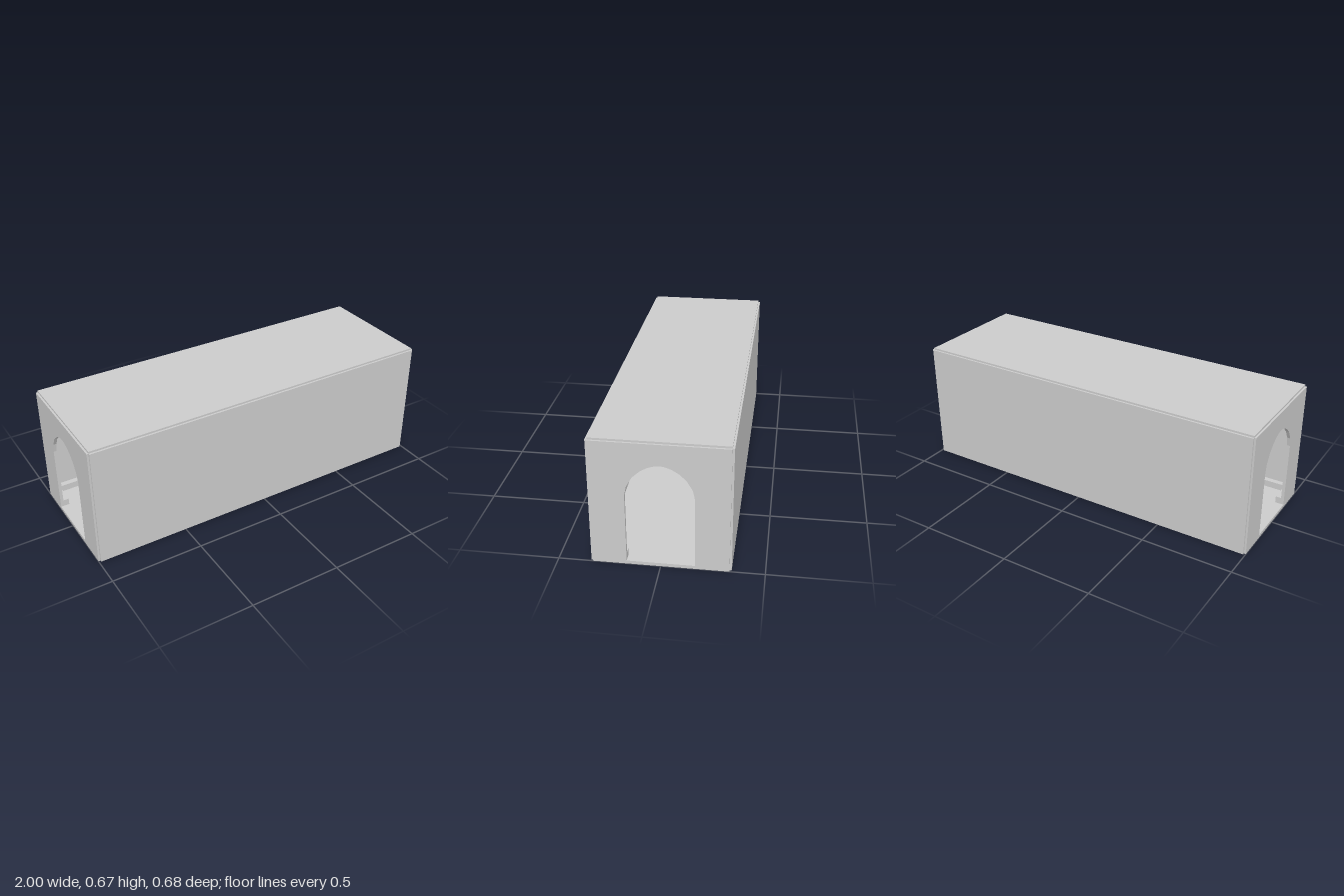
import * as THREE from 'three';

export function createModel() {
  const model = new THREE.Group();
  const material = new THREE.MeshStandardMaterial({ color: 0xcccccc, flatShading: true });
  const T = 0.017;              // panel thickness
  const KERB_W = 0.03, KERB_H = 0.037;
  const DOOR = 0.165;           // half width of the doorway

  function box(name, w, h, d, x, y, z) {
    const mesh = new THREE.Mesh(new THREE.BoxGeometry(w, h, d), material);
    mesh.name = name;
    mesh.position.set(x, y, z);
    model.add(mesh);
  }

  // Floor and roof; the short panels leave a stepped groove along the edges
  box('floor', 1.966, T, 0.646, 0, T / 2, 0);
  box('roof', 1.98, T, 0.66, 0, 0.67 - T / 2, 0);

  // Long side walls with a kerb along the inside
  for (const s of [-1, 1]) {
    box('sideWall', 1.98, 0.66, T, 0, 0.33, s * (0.34 - T / 2));
    box('sideKerb', 1.966, KERB_H, KERB_W, 0, T + KERB_H / 2, s * (0.323 - KERB_W / 2));
  }

  // End wall outline with an arched doorway
  const wall = new THREE.Shape([[-0.33, 0], [0.33, 0], [0.33, 0.66], [-0.33, 0.66]]
    .map(([x, y]) => new THREE.Vector2(x, y)));
  const half = [[DOOR, T], [DOOR, 0.383], [0.155, 0.433], [0.126, 0.483],
    [0.09, 0.517], [0.055, 0.538], [0.018, 0.55]];
  const arch = [...half, ...half.map(([x, y]) => [-x, y]).reverse()];
  wall.holes.push(new THREE.Path(arch.map(([x, y]) => new THREE.Vector2(x, y))));
  const wallGeometry = new THREE.ExtrudeGeometry(wall, { depth: T, bevelEnabled: false });
  wallGeometry.translate(0, 0, -T / 2).rotateY(Math.PI / 2);

  // Both end walls, with kerbs that stop at the doorway
  const kerbLength = 0.293 - DOOR;
  for (const s of [-1, 1]) {
    const end = new THREE.Mesh(wallGeometry, material);
    end.name = 'endWall';
    end.position.x = s * (1 - T / 2);
    model.add(end);
    for (const side of [-1, 1]) {
      box('endKerb', KERB_W, KERB_H, kerbLength,
        s * (0.983 - KERB_W / 2), T + KERB_H / 2, side * (DOOR + kerbLength / 2));
    }
  }
  return model;
}
